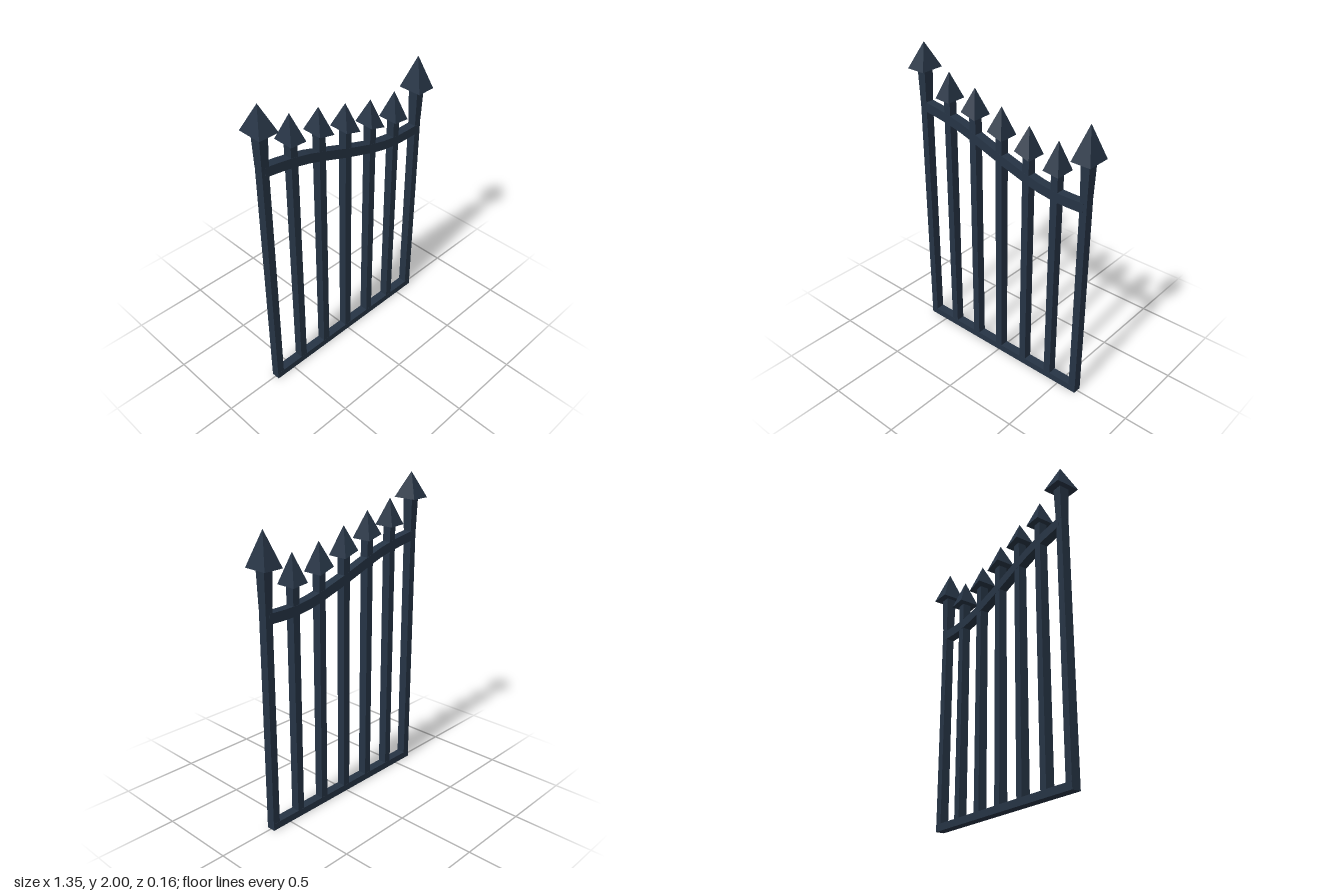
import * as THREE from 'three';

const iron = new THREE.MeshStandardMaterial({ color: 0x263445, flatShading: true });
iron.name = 'dark blue iron';

// x, finial base height, tip height, half width, half depth, drop of the base across its width
const PICKETS = [
  [-0.612, 1.84, 2.0, 0.064, 0.079, 0],
  [-0.41, 1.698, 1.862, 0.054, 0.067, 0.006],
  [-0.204, 1.658, 1.815, 0.054, 0.067, 0.026],
  [0, 1.592, 1.756, 0.054, 0.067, 0.032],
  [0.204, 1.534, 1.698, 0.054, 0.067, 0.032],
  [0.41, 1.492, 1.672, 0.054, 0.067, 0.012],
  [0.612, 1.62, 1.83, 0.064, 0.079, 0],
];

// Centre line of the swept top rail
const RAIL = [[-0.612, 1.602], [-0.51, 1.587], [-0.41, 1.57], [-0.3, 1.543], [-0.204, 1.512],
  [0, 1.441], [0.204, 1.378], [0.3, 1.355], [0.41, 1.339], [0.5, 1.336], [0.612, 1.338]];

function addMesh(parent, geometry, name) {
  const mesh = new THREE.Mesh(geometry, iron);
  mesh.name = name;
  parent.add(mesh);
  return mesh;
}

function box(parent, name, w, h, d, x, y) {
  return addMesh(parent, new THREE.BoxGeometry(w, h, d).translate(x, y, 0), name);
}

// Square pyramid whose base slopes with the rail
function finialGeometry(x, base, tip, halfW, halfD, drop) {
  const g = new THREE.CylinderGeometry(0, Math.SQRT2, 1, 4, 1).rotateY(Math.PI / 4);
  g.translate(0, 0.5, 0).scale(halfW, tip - base, halfD);
  const p = g.attributes.position;
  for (let i = 0; i < p.count; i++) p.setY(i, p.getY(i) - (p.getX(i) / halfW) * drop / 2);
  g.computeVertexNormals();
  return g.translate(x, base, 0);
}

// Square neck that flares slightly toward the finial
function neckGeometry(x, bottom, top) {
  const g = new THREE.BoxGeometry(1, top - bottom, 1);
  const p = g.attributes.position;
  for (let i = 0; i < p.count; i++) {
    const up = p.getY(i) > 0;
    p.setX(i, p.getX(i) * (up ? 0.06 : 0.049));
    p.setZ(i, p.getZ(i) * (up ? 0.068 : 0.057));
  }
  g.computeVertexNormals();
  return g.translate(x, (bottom + top) / 2, 0);
}

export function createModel() {
  const gate = new THREE.Group();
  gate.name = 'gate';

  // Upright bars with spear finials
  PICKETS.forEach(([x, base, tip, halfW, halfD, drop], i) => {
    const end = i === 0 || i === PICKETS.length - 1;
    const picket = new THREE.Group();
    picket.name = end ? 'endPost' : 'picket';
    box(picket, 'bar', 0.048, base, 0.056, x, base / 2);
    if (end) addMesh(picket, neckGeometry(x, base - 0.22, base), 'neck');
    addMesh(picket, finialGeometry(x, base, tip, halfW, halfD, drop), 'finial');
    gate.add(picket);
  });

  // Bottom rail
  box(gate, 'bottomRail', 1.27, 0.045, 0.058, 0, 0.0225);

  // Top rail, extruded from its side outline
  const half = 0.031;
  const outline = [
    ...RAIL.map(([x, y]) => new THREE.Vector2(x, y - half)),
    ...[...RAIL].reverse().map(([x, y]) => new THREE.Vector2(x, y + half)),
  ];
  const rail = new THREE.ExtrudeGeometry(new THREE.Shape(outline), { depth: 0.058, bevelEnabled: false });
  addMesh(gate, rail.translate(0, 0, -0.029), 'topRail');

  return gate;
}
